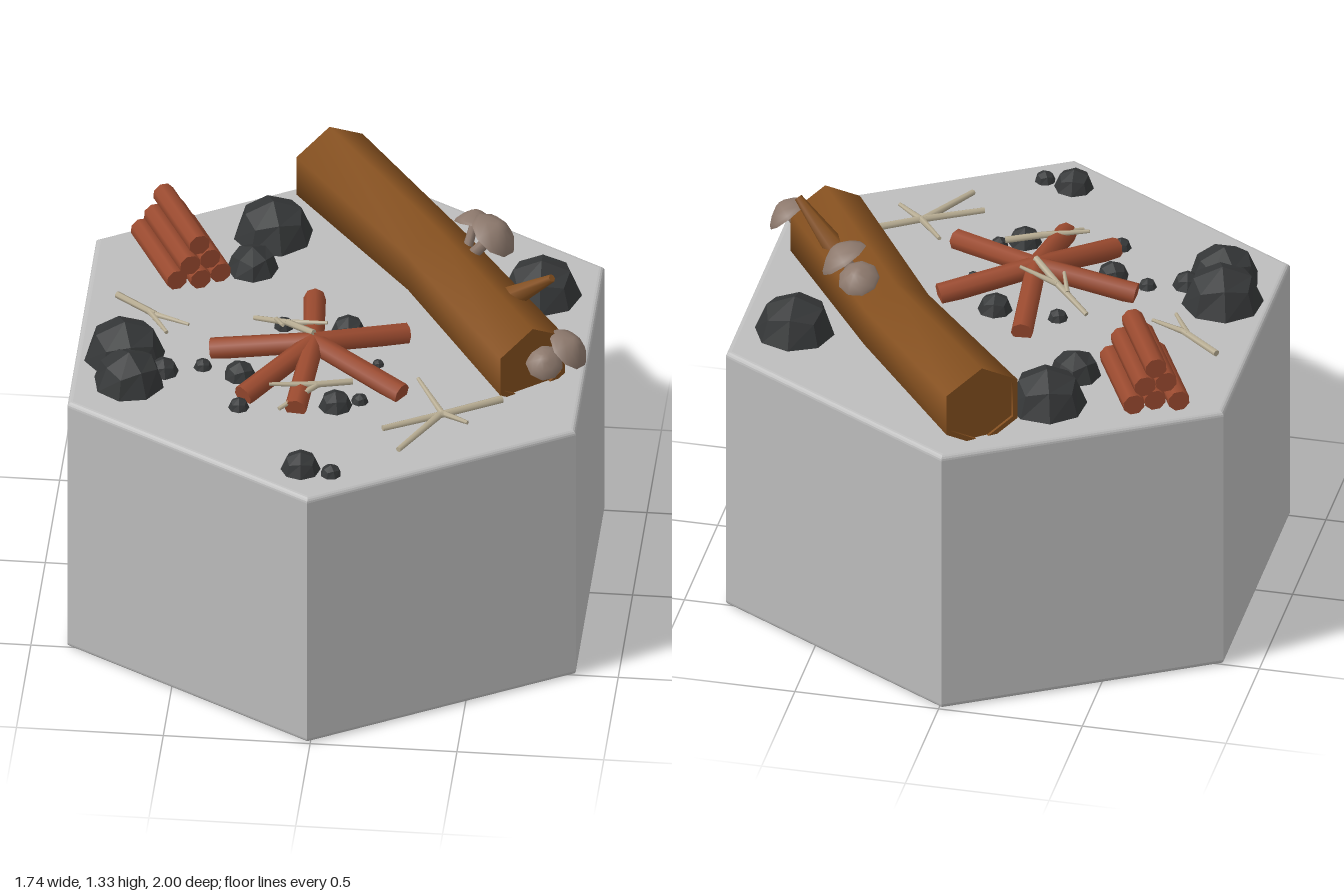
import * as THREE from 'three';
import { toCreasedNormals } from 'three/addons/utils/BufferGeometryUtils.js';

const V = (x, y, z) => new THREE.Vector3(x, y, z);
const UP = V(0, 1, 0);

const mat = (name, color, flatShading = false) => {
  const m = new THREE.MeshStandardMaterial({ color, flatShading });
  m.name = name;
  return m;
};

export function createModel() {
  const stone = mat('pale stone', 0xbdbdbd);
  const bark = mat('brown bark', 0x85501f);
  const firewood = mat('red firewood', 0x9a4a2f);
  const coal = mat('dark rock', 0x353738, true);
  const dryWood = mat('dry twig', 0xb9ae94);
  const fungus = mat('mushroom', 0x8c786c);

  const model = new THREE.Group();
  model.name = 'campsiteTile';

  const group = (name) => {
    const g = new THREE.Group();
    g.name = name;
    model.add(g);
    return g;
  };
  const add = (parent, name, geo, material) => {
    const m = new THREE.Mesh(geo, material);
    m.name = name;
    parent.add(m);
    return m;
  };
  // Tapered rod between two points
  const rod = (parent, name, a, b, ra, rb, sides, material) => {
    const d = b.clone().sub(a);
    const geo = new THREE.CylinderGeometry(rb, ra, d.length(), sides);
    const m = add(parent, name, geo, material);
    m.position.copy(a).add(b).multiplyScalar(0.5);
    m.quaternion.setFromUnitVectors(UP, d.normalize());
    return m;
  };

  // Hexagonal block with softened edges
  const bevel = 0.018;
  const R = 1 - bevel / Math.cos(Math.PI / 6);
  const hex = new THREE.Shape();
  for (let i = 0; i < 6; i++) {
    const a = Math.PI / 2 + (i * Math.PI) / 3;
    hex[i ? 'lineTo' : 'moveTo'](R * Math.cos(a), R * Math.sin(a));
  }
  hex.closePath();
  const block = new THREE.ExtrudeGeometry(hex, {
    depth: 1 - 2 * bevel, bevelEnabled: true, bevelSize: bevel, bevelThickness: bevel, bevelSegments: 4,
  });
  block.rotateX(-Math.PI / 2).translate(-0.01, bevel, 0);
  add(model, 'hexBlock', block, stone);

  // Fallen log: rings [centre, radius] from front to back, ends slightly recessed
  const dir = V(0.615, 0, 0.79).normalize();
  const side = V(-dir.z, 0, dir.x);
  const front = V(0.685, 1.09, 0.255), mid = V(0.305, 1.1, -0.32), back = V(-0.115, 1.12, -0.845);
  const frontIn = front.clone().addScaledVector(dir, -0.01);
  const backIn = back.clone().addScaledVector(dir, 0.01);
  const rings = [
    [frontIn, 0], [frontIn, 0.13], [front, 0.13], [front, 0.15], [mid, 0.138],
    [back, 0.153], [back, 0.133], [backIn, 0.133], [backIn, 0],
  ];
  const logGeo = new THREE.CylinderGeometry(1, 1, 1, 6, rings.length - 1, true);
  const pos = logGeo.attributes.position;
  for (let i = 0; i < pos.count; i++) {
    const [c, r] = rings[Math.round((0.5 - pos.getY(i)) * (rings.length - 1))];
    const p = c.clone().addScaledVector(side, pos.getX(i) * r).addScaledVector(UP, pos.getZ(i) * r);
    pos.setXYZ(i, p.x, p.y, p.z);
  }
  const log = group('fallenLog');
  add(log, 'logTrunk', toCreasedNormals(logGeo, 1.1), bark);
  rod(log, 'brokenBranch', V(0.57, 1.16, -0.035), V(0.73, 1.31, 0.045), 0.042, 0.014, 6, bark);

  // Mushrooms: cap centre, cap axis, radius, stem foot
  const capProfile = [[0, 0.14], [0.55, 0.1], [1, 0], [0.93, 0.16], [0.62, 0.42], [0.25, 0.62], [0, 0.68]]
    .map(([x, y]) => new THREE.Vector2(x, y));
  const capGeo = toCreasedNormals(new THREE.LatheGeometry(capProfile, 9), 0.9);
  const mushrooms = group('mushrooms');
  [
    [V(0.5, 1.27, -0.25), V(0.6, 0.78, 0.08), 0.09, V(0.42, 1.17, -0.26)],
    [V(0.43, 1.255, -0.34), V(0.08, 0.88, -0.42), 0.072, V(0.4, 1.15, -0.28)],
    [V(0.8, 1.135, 0.21), V(0.66, 0.74, 0.1), 0.08, V(0.72, 1.06, 0.19)],
    [V(0.725, 1.105, 0.255), V(0.1, 0.78, 0.6), 0.064, V(0.7, 1.04, 0.2)],
  ].forEach(([c, axis, r, foot]) => {
    const cap = add(mushrooms, 'mushroomCap', capGeo, fungus);
    cap.position.copy(c);
    cap.scale.setScalar(r);
    cap.quaternion.setFromUnitVectors(UP, axis.normalize());
    rod(mushrooms, 'mushroomStem', foot, c.clone().addScaledVector(axis, r * 0.2), r * 0.25, r * 0.2, 8, fungus);
  });

  // Rocks: rounded cubes half sunk in the ground [x, z, radius, turn]
  const rockGeo = new THREE.BoxGeometry(2, 2, 2, 2, 2, 2);
  const rp = rockGeo.attributes.position;
  for (let i = 0; i < rp.count; i++) {
    const p = V(0, 0, 0).fromBufferAttribute(rp, i).normalize();
    rp.setXYZ(i, p.x, p.y, p.z);
  }
  const rocks = group('rocks');
  [
    [-0.28, -0.58, 0.137, 0.3], [-0.33, -0.37, 0.088, 0.9], [0.66, -0.31, 0.137, 0.05],
    [-0.71, 0.2, 0.14, 0.3], [-0.68, 0.355, 0.122, 0.6], [-0.57, 0.28, 0.052, 0.2],
    [-0.05, 0.82, 0.068, 0.1], [0.055, 0.84, 0.036, 0.5],
    [-0.19, -0.03, 0.035, 0.4], [0.03, -0.02, 0.06, 0.1], [-0.44, 0.24, 0.032, 0.2],
    [-0.31, 0.28, 0.055, 0.5], [0.15, 0.17, 0.021, 0.3], [0.03, 0.43, 0.058, 0.2],
    [0.11, 0.395, 0.03, 0.7], [-0.295, 0.47, 0.036, 0.1],
  ].forEach(([x, z, r, turn]) => {
    const rock = add(rocks, 'rock', rockGeo, coal);
    rock.position.set(x, 1, z);
    rock.rotation.y = turn;
    rock.scale.setScalar(r);
  });

  // Campfire: sticks leaning in to the centre
  const fire = group('campfire');
  [[-0.1, -0.18], [0.23, 0], [0.25, 0.365], [-0.1, 0.49], [-0.285, 0.43], [-0.42, 0.155]].forEach(([x, z]) => {
    rod(fire, 'fireStick', V(x, 1.02, z), V(-0.07, 1.075, 0.165), 0.038, 0.036, 8, firewood);
  });

  // Firewood pile stacked 3-2-1
  const pile = group('woodPile');
  const along = V(0.45, 0, 0.89).normalize(), across = V(0.89, 0, -0.45).normalize();
  for (let row = 0; row < 3; row++) {
    for (let k = 0; k < 3 - row; k++) {
      const shift = 0.012 * ((row * 2 + k * 5) % 3 - 1);
      const c = V(-0.575, 1.037 + row * 0.066, -0.395)
        .addScaledVector(across, (k - (2 - row) / 2) * 0.077)
        .addScaledVector(along, shift);
      const half = along.clone().multiplyScalar(0.17);
      rod(pile, 'splitLog', c.clone().sub(half), c.clone().add(half), 0.038, 0.038, 8, firewood);
    }
  }

  // Forked twigs: segments [x, y, z] to [x, y, z] with end radii
  const twigs = group('twigs');
  [
    [-0.77, 1.012, -0.15, -0.63, 1.015, -0.04, 0.012, 0.012],
    [-0.63, 1.015, -0.04, -0.51, 1.015, 0.01, 0.011, 0.006],
    [-0.65, 1.015, -0.055, -0.58, 1.015, 0.065, 0.011, 0.007],
    [-0.29, 1.03, -0.03, -0.17, 1.08, 0.06, 0.009, 0.012],
    [-0.17, 1.08, 0.06, -0.07, 1.11, 0.16, 0.012, 0.012],
    [-0.17, 1.08, 0.06, -0.03, 1.11, 0.095, 0.011, 0.006],
    [-0.21, 1.07, 0.03, -0.18, 1.1, 0.11, 0.009, 0.006],
    [0.08, 1.05, 0.35, -0.04, 1.06, 0.395, 0.012, 0.012],
    [-0.04, 1.06, 0.395, -0.195, 1.075, 0.43, 0.012, 0.006],
    [-0.03, 1.06, 0.39, -0.155, 1.03, 0.51, 0.011, 0.007],
    [0.59, 1.015, 0.355, 0.4, 1.018, 0.47, 0.014, 0.013],
    [0.4, 1.018, 0.47, 0.205, 1.018, 0.575, 0.013, 0.011],
    [0.4, 1.018, 0.47, 0.3, 1.05, 0.31, 0.012, 0.007],
    [0.39, 1.018, 0.46, 0.49, 1.03, 0.53, 0.012, 0.007],
    [0.39, 1.018, 0.475, 0.27, 1.013, 0.69, 0.013, 0.01],
  ].forEach(([ax, ay, az, bx, by, bz, ra, rb]) => {
    rod(twigs, 'twig', V(ax, ay, az), V(bx, by, bz), ra, rb, 6, dryWood);
  });

  return model;
}
